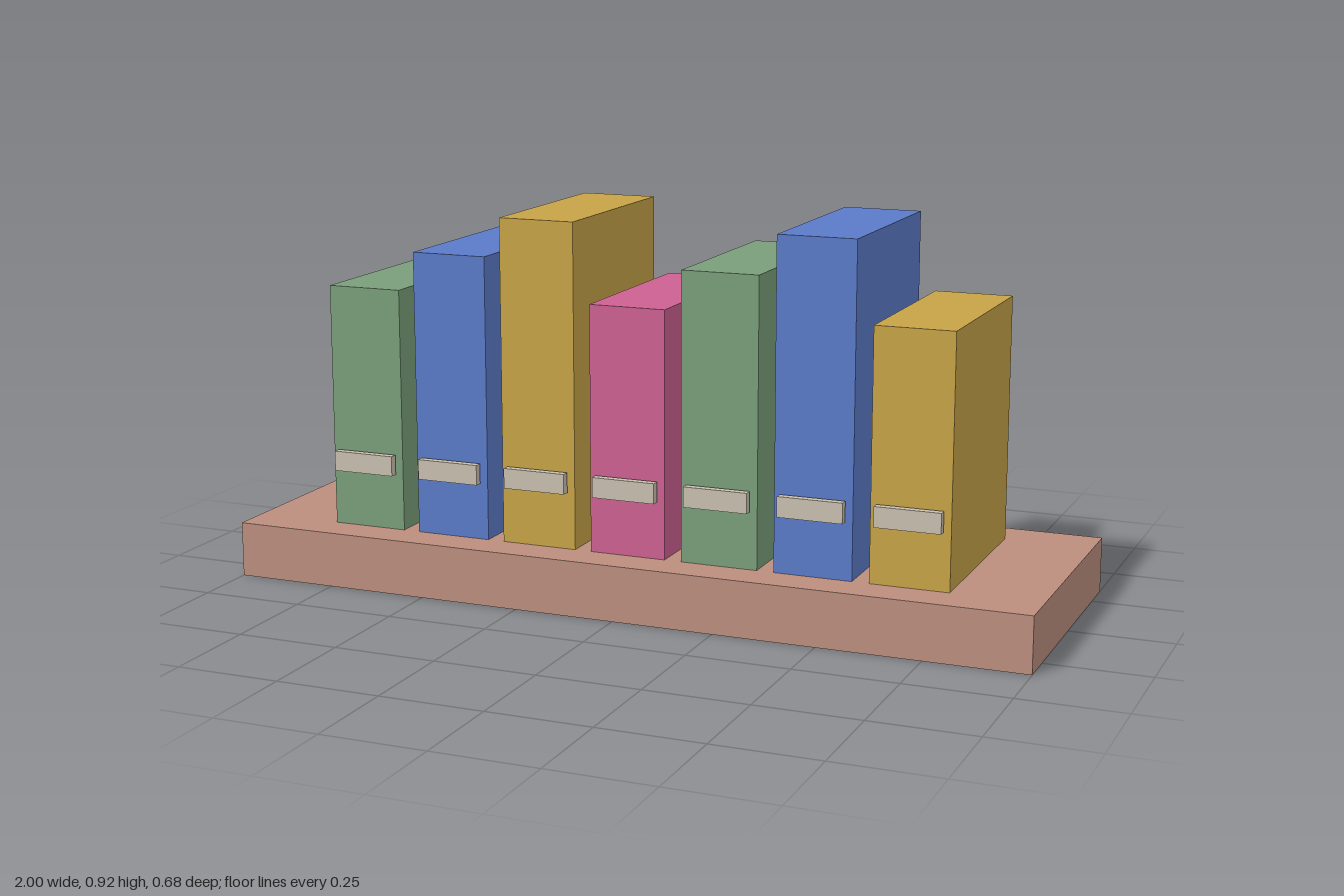
import * as THREE from 'three';

const paint = (name, color) => {
  const m = new THREE.MeshStandardMaterial({ color });
  m.name = name;
  return m;
};

export function createModel() {
  const group = new THREE.Group();
  group.name = 'bookShelf';

  const wood = paint('wood', 0xbb8e7e);
  const label = paint('label', 0xc8bfae);
  const green = paint('green', 0x7a9e7a);
  const blue = paint('blue', 0x5b7bc9);
  const gold = paint('gold', 0xc7a347);
  const pink = paint('pink', 0xcc6192);

  // Box placed by its centre in x and z and its bottom in y
  const box = (name, material, [w, h, d], [x, y, z], parent = group) => {
    const mesh = new THREE.Mesh(new THREE.BoxGeometry(w, h, d), material);
    mesh.name = name;
    mesh.position.set(x, y + h / 2, z);
    parent.add(mesh);
  };

  // Shelf board
  const shelfTop = 0.135;
  box('shelfBoard', wood, [2, shelfTop, 0.676], [0, 0, 0]);

  // Row of books, three heights in turn, each with a spine label standing just clear of it
  const heights = [0.595, 0.69, 0.785];
  [green, blue, gold, pink, green, blue, gold].forEach((cover, i) => {
    const book = new THREE.Group();
    book.name = `book${i + 1}`;
    book.position.x = (i - 3) * 0.23;
    box('cover', cover, [0.189, heights[i % 3], 0.487], [0, shelfTop, 0], book);
    box('spineLabel', label, [0.157, 0.049, 0.02], [0, 0.275, 0.261], book);
    group.add(book);
  });

  return group;
}
